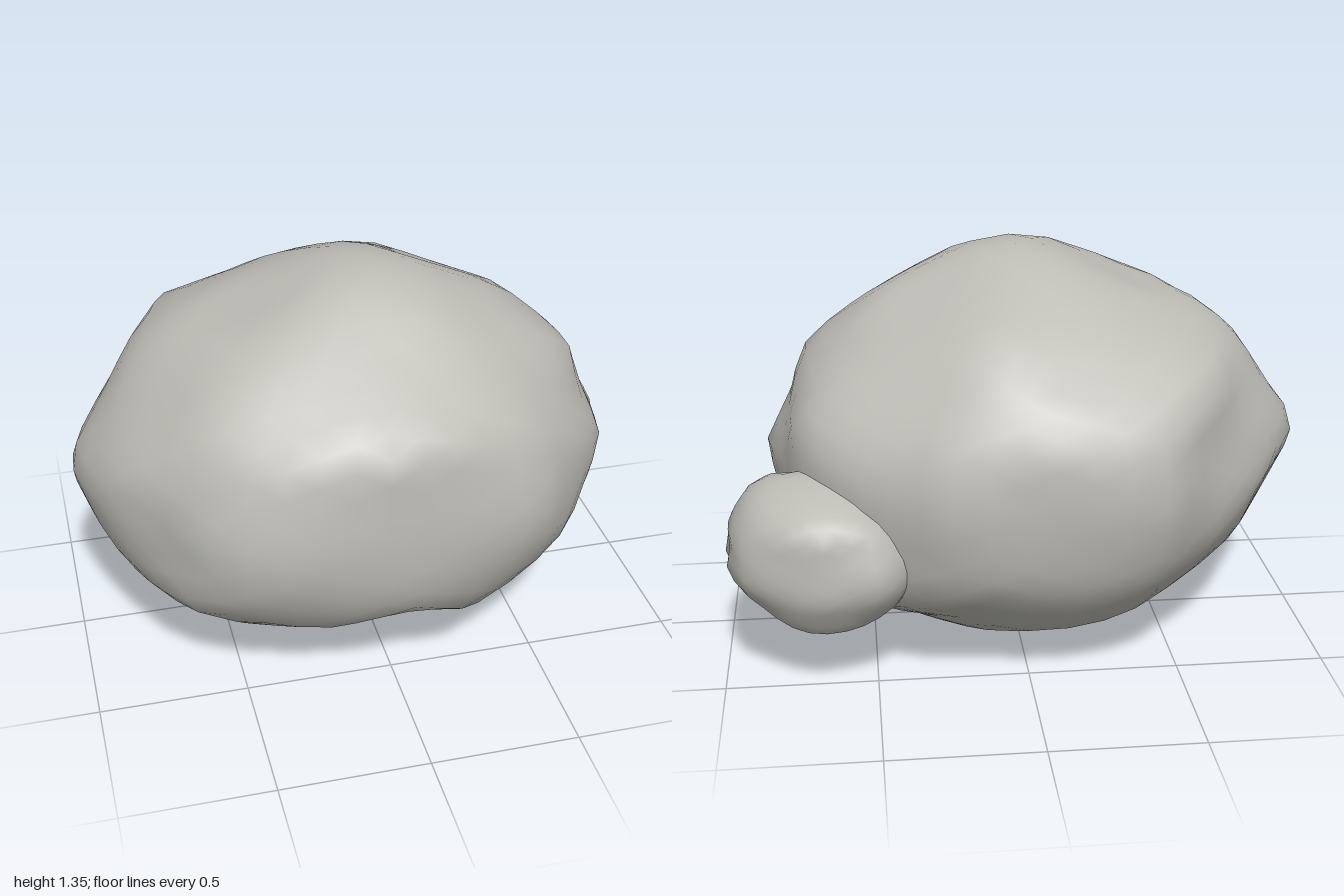
import * as THREE from 'three';
import { mergeVertices } from 'three/addons/utils/BufferGeometryUtils.js';

const V = (x, y, z) => new THREE.Vector3(x, y, z);

// Multiplier at which the ray c + t*q leaves a closed outline.
function reach(outline, c, q) {
  let best = 0;
  outline.forEach((a, i) => {
    const b = outline[(i + 1) % outline.length];
    const ex = b[0] - a[0], ey = b[1] - a[1];
    const ax = a[0] - c[0], ay = a[1] - c[1];
    const det = q[0] * ey - q[1] * ex;
    if (Math.abs(det) < 1e-9) return;
    const t = (ax * ey - ay * ex) / det;
    const u = (ax * q[1] - ay * q[0]) / det;
    if (t > best && u >= -1e-6 && u <= 1 + 1e-6) best = t;
  });
  return best || Infinity;
}

// An outline lying in the plane of two axes, measured from a pivot.
const section = (u, v, outline, pivot = V(0, 0, 0)) =>
  ({ u, v, normal: u.clone().cross(v), outline, pivot });

// A tilted outline: plane turned about y, then leaned back (degrees).
function tilted(turn, lean, outline) {
  const a = THREE.MathUtils.degToRad(turn), e = THREE.MathUtils.degToRad(lean);
  const n = V(Math.sin(a) * Math.cos(e), Math.sin(e), Math.cos(a) * Math.cos(e));
  const u = V(Math.cos(a), 0, -Math.sin(a));
  return section(u, n.clone().cross(u), outline, V(0, 0.69, 0));
}

// Outlines in the xy, zy and xz planes.
const upright = (front, side, top) => [
  section(V(1, 0, 0), V(0, 1, 0), front),
  section(V(0, 0, 1), V(0, 1, 0), side),
  section(V(1, 0, 0), V(0, 0, 1), top),
];

// Boulder: an ellipsoid pushed out to meet its outlines, each blended in
// by how close a vertex lies to its rim, then kept inside all of them.
function boulder(name, centre, radii, sections, detail, material) {
  const geo = new THREE.IcosahedronGeometry(1, detail);
  geo.deleteAttribute('uv');
  geo.deleteAttribute('normal');
  const merged = mergeVertices(geo, 1e-4);
  const pos = merged.attributes.position;
  const rims = sections.map((s) => {
    const c = centre.clone().sub(s.pivot);
    return {
      rim: s.normal.clone().divide(radii).normalize(),
      at: (p) => reach(s.outline, [c.dot(s.u), c.dot(s.v)], [p.dot(s.u), p.dot(s.v)]),
    };
  });
  const s = V(0, 0, 0);
  for (let i = 0; i < pos.count; i++) {
    s.fromBufferAttribute(pos, i);
    const p = s.clone().multiply(radii);
    let sum = 0, total = 0, limit = Infinity;
    for (const { rim, at } of rims) {
      const off = s.dot(rim);
      const flat = s.clone().addScaledVector(rim, -off);
      limit = Math.min(limit, 1.02 * at(p));
      if (flat.length() < 1e-3) continue;
      const w = flat.lengthSq() / (off * off + 0.03);
      sum += w * at(flat.normalize().multiply(radii));
      total += w;
    }
    p.multiplyScalar(Math.min(sum / total, limit)).add(centre);
    pos.setXYZ(i, p.x, p.y, p.z);
  }
  merged.computeVertexNormals();
  const mesh = new THREE.Mesh(merged, material);
  mesh.name = name;
  return mesh;
}

export function createModel() {
  const group = new THREE.Group();
  group.name = 'rocks';
  const stone = new THREE.MeshStandardMaterial({ color: 0xbdbcb5 });

  // Large boulder
  const large = upright(
    [[-1, 0.7], [-0.94, 0.52], [-0.86, 0.35], [-0.72, 0.28], [-0.62, 0.2], [-0.48, 0.14],
      [-0.25, 0.01], [-0.05, 0.07], [0.17, 0], [0.4, 0.1], [0.6, 0.18], [0.74, 0.3], [0.8, 0.45],
      [0.85, 0.69], [0.76, 0.8], [0.71, 1.02], [0.55, 1.15], [0.42, 1.23], [0.2, 1.355],
      [-0.02, 1.38], [-0.22, 1.3], [-0.4, 1.22], [-0.66, 1.14], [-0.78, 1.04], [-0.87, 0.87]],
    [[0.76, 1.03], [0.6, 1.13], [0.4, 1.24], [0.22, 1.37], [0.04, 1.38], [-0.18, 1.33],
      [-0.38, 1.21], [-0.55, 1.14], [-0.67, 1.03], [-0.76, 0.88], [-0.74, 0.68], [-0.72, 0.45],
      [-0.68, 0.36], [-0.53, 0.18], [-0.3, 0.09], [-0.1, 0.02], [0.15, 0], [0.36, 0.11],
      [0.43, 0.23], [0.67, 0.3], [0.75, 0.5], [0.76, 0.68]],
    [[-1, 0], [-0.84, -0.29], [-0.66, -0.5], [-0.55, -0.58], [-0.45, -0.73], [-0.18, -0.77],
      [-0.02, -0.74], [0.26, -0.74], [0.42, -0.62], [0.55, -0.55], [0.68, -0.43], [0.75, -0.3],
      [0.76, -0.18], [0.86, 0.04], [0.81, 0.27], [0.5, 0.65], [0.4, 0.7], [0.05, 0.75],
      [-0.32, 0.76], [-0.47, 0.74], [-0.6, 0.68], [-0.69, 0.6], [-0.75, 0.45], [-0.9, 0.28]]);
  large.push(
    tilted(40, 20, [[-0.89, 0.22], [-0.74, 0.35], [-0.63, 0.45], [-0.51, 0.57], [-0.34, 0.62],
      [-0.18, 0.64], [0.04, 0.645], [0.19, 0.6], [0.43, 0.55], [0.53, 0.4], [0.65, 0.25],
      [0.78, 0.1], [0.8, 0.02], [0.76, -0.24], [0.62, -0.48], [0.38, -0.64], [0.145, -0.71],
      [-0.145, -0.64], [-0.31, -0.56], [-0.59, -0.48], [-0.755, -0.36], [-0.895, -0.24], [-0.86, -0.01]]),
    tilted(220, 20, [[0.075, 0.7], [0.4, 0.59], [0.605, 0.48], [0.785, 0.33], [0.87, 0.075],
      [0.89, -0.145], [0.84, -0.32], [0.71, -0.49], [0.43, -0.58], [0.23, -0.64], [-0.05, -0.66],
      [-0.31, -0.62], [-0.49, -0.49], [-0.68, -0.42], [-0.76, -0.16], [-0.79, 0.06], [-0.78, 0.245],
      [-0.63, 0.395], [-0.535, 0.43], [-0.465, 0.51], [-0.31, 0.62], [-0.24, 0.63]]),
    tilted(140, -28, [[0.225, 0.635], [0.41, 0.52], [0.605, 0.41], [0.79, 0.31], [0.77, 0.065],
      [0.815, -0.19], [0.7, -0.42], [0.62, -0.565], [0.355, -0.67], [0.04, -0.715], [-0.2, -0.615],
      [-0.42, -0.51], [-0.565, -0.51], [-0.69, -0.34], [-0.79, -0.17], [-0.79, 0.16], [-0.71, 0.25],
      [-0.65, 0.44], [-0.535, 0.495], [-0.34, 0.58], [-0.035, 0.61]]));
  group.add(boulder('largeBoulder', V(-0.07, 0.69, 0), V(0.93, 0.69, 0.76), large, 8, stone));

  // Small boulder leaning into its back left side
  const small = upright(
    [[0.85, 0.69], [0.92, 0.64], [0.98, 0.53], [0.96, 0.5], [1, 0.39], [0.9, 0.32],
      [0.82, 0.24], [0.68, 0.19], [0.5, 0.22], [0.38, 0.32], [0.33, 0.46], [0.4, 0.62],
      [0.55, 0.7], [0.7, 0.72]],
    [[0.03, 0.4], [-0.03, 0.49], [-0.13, 0.63], [-0.25, 0.66], [-0.32, 0.71], [-0.4, 0.72],
      [-0.52, 0.69], [-0.6, 0.66], [-0.67, 0.62], [-0.685, 0.39], [-0.6, 0.25], [-0.48, 0.21],
      [-0.28, 0.19], [-0.15, 0.28]],
    [[0.41, -0.62], [0.48, -0.68], [0.6, -0.68], [0.77, -0.65], [0.85, -0.61], [0.93, -0.54],
      [0.98, -0.4], [0.96, -0.33], [1, -0.26], [0.95, -0.13], [0.89, -0.1], [0.89, -0.04],
      [0.82, 0], [0.65, 0.03], [0.45, -0.04], [0.34, -0.25], [0.33, -0.45]]);
  group.add(boulder('smallBoulder', V(0.66, 0.45, -0.33), V(0.33, 0.265, 0.36), small, 6, stone));
  return group;
}
